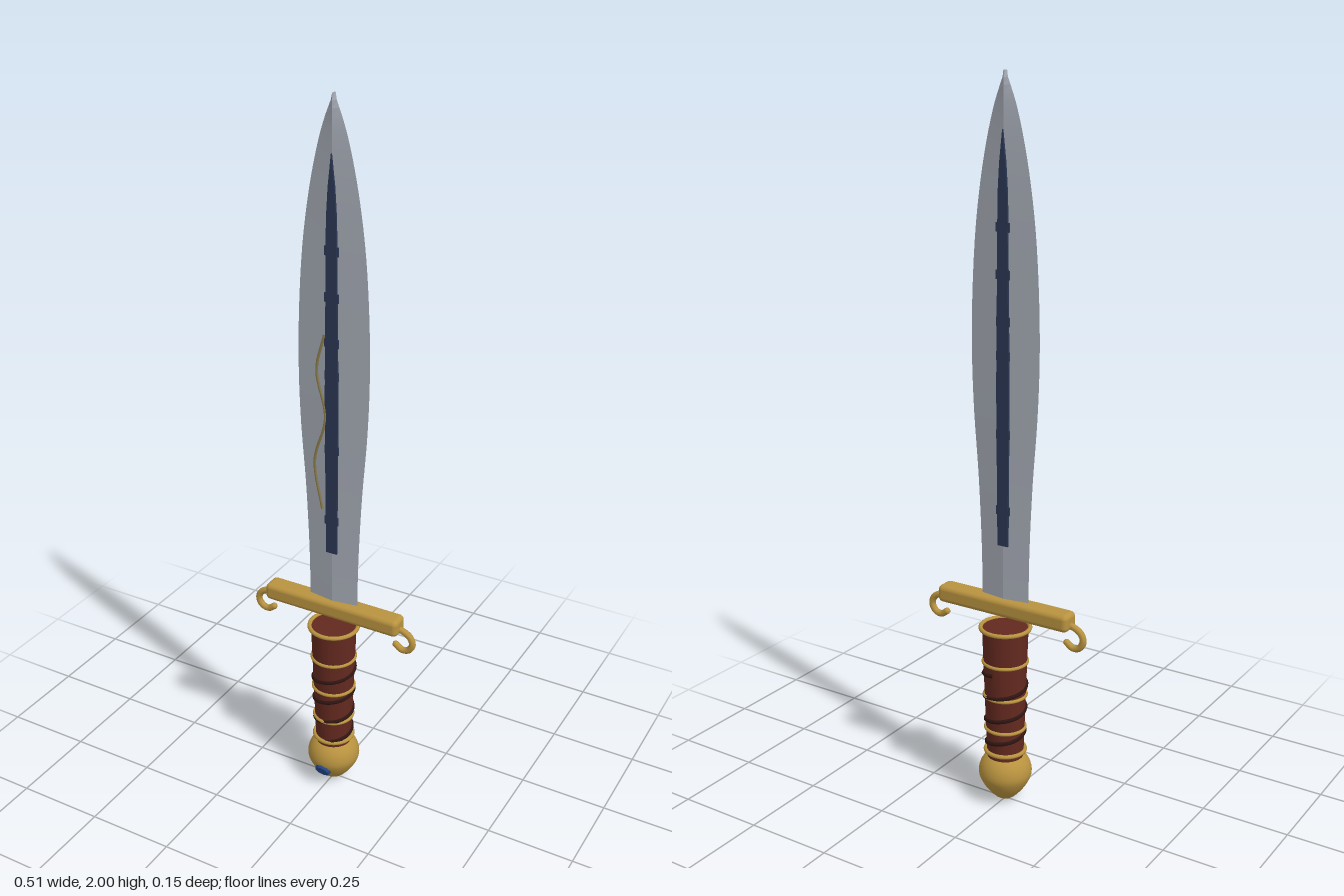
import * as THREE from 'three';
import { RoundedBoxGeometry } from 'three/addons/geometries/RoundedBoxGeometry.js';
import { toCreasedNormals } from 'three/addons/utils/BufferGeometryUtils.js';

const material = (color) => new THREE.MeshStandardMaterial({ color });
const gold = material(0xb8923f);
const steel = material(0xa3a8b2);
const navy = material(0x2a3654);
const leather = material(0x63291f);
const cord = material(0x2e1512);
const inlayGold = material(0x8a7a4a);
const blue = material(0x24488c);

const vec3 = (p) => new THREE.Vector3(...p);
const vec2 = (p) => new THREE.Vector2(...p);

function add(parent, name, geometry, mat, x = 0, y = 0, z = 0) {
  const mesh = new THREE.Mesh(geometry, mat);
  mesh.name = name;
  mesh.position.set(x, y, z);
  parent.add(mesh);
  return mesh;
}

// Leaf-shaped blade: a diamond section swept up the half-width profile
function bladeGeometry() {
  const edge = new THREE.CatmullRomCurve3([
    [0.074, 0.6, 0], [0.076, 0.75, 0], [0.085, 0.95, 0], [0.099, 1.14, 0], [0.104, 1.3, 0],
    [0.1, 1.47, 0], [0.087, 1.64, 0], [0.062, 1.8, 0], [0.032, 1.92, 0], [0.001, 2, 0],
  ].map(vec3));
  const steps = 40;
  const rows = [];
  for (let i = 0; i <= steps; i++) {
    const { x: w, y } = edge.getPoint(i / steps);
    const t = 0.011 - 0.0018 * (y - 0.6);
    rows.push([[w, y, 0], [0, y, t], [-w, y, 0], [0, y, -t]]);
  }
  const pos = [];
  const quad = (a, b, c, d) => pos.push(...a, ...b, ...c, ...a, ...c, ...d);
  for (let i = 0; i < steps; i++) {
    for (let k = 0; k < 4; k++) {
      const n = (k + 1) % 4;
      quad(rows[i][n], rows[i][k], rows[i + 1][k], rows[i + 1][n]);
    }
  }
  quad(...rows[0]);
  quad(...[...rows[steps]].reverse());
  const g = new THREE.BufferGeometry();
  g.setAttribute('position', new THREE.Float32BufferAttribute(pos, 3));
  return toCreasedNormals(g, 0.15);
}

export function createModel() {
  const model = new THREE.Group();
  model.name = 'shortSword';

  // Blade with a thin dark strip, slightly notched, on each face
  add(model, 'blade', bladeGeometry(), steel);
  const strip = new THREE.Shape([
    [-0.016, 0.77], [0.016, 0.77], [0.019, 1.2], [0.014, 1.7], [0.009, 1.78], [0, 1.86],
    [-0.009, 1.78], [-0.014, 1.7], [-0.019, 1.2],
  ].map(vec2));
  const stripGeometry = new THREE.ExtrudeGeometry(strip, { depth: 0.006, bevelEnabled: false });
  for (const s of [1, -1]) {
    add(model, 'fuller', stripGeometry, navy, 0, 0, s * 0.0115 - 0.003);
    for (const y of [0.87, 1.08, 1.29, 1.38, 1.5, 1.62]) {
      add(model, 'fullerNotch', new THREE.BoxGeometry(0.04, 0.024, 0.005), navy, 0, y, s * 0.0115);
    }
  }

  // Wavy inlay on the front of the blade
  const wave = new THREE.CatmullRomCurve3([
    [-0.02, 1.4, 0.013], [-0.043, 1.3, 0.013], [-0.018, 1.17, 0.013],
    [-0.05, 1.04, 0.013], [-0.028, 0.9, 0.013],
  ].map(vec3));
  add(model, 'inlay', new THREE.TubeGeometry(wave, 48, 0.0035, 6), inlayGold);

  // Crossguard with a curled hook at each end
  add(model, 'guard', new RoundedBoxGeometry(0.416, 0.05, 0.058, 4, 0.014), gold, 0, 0.592, 0);
  for (const s of [1, -1]) {
    const hook = new THREE.CatmullRomCurve3([
      [0.185, 0.582, 0], [0.215, 0.58, 0], [0.238, 0.566, 0], [0.245, 0.545, 0],
      [0.234, 0.525, 0], [0.214, 0.52, 0], [0.195, 0.532, 0],
    ].map(([x, y, z]) => vec3([s * x, y, z])));
    add(model, 'guardHook', new THREE.TubeGeometry(hook, 32, 0.0095, 10), gold);
    add(model, 'hookTip', new THREE.SphereGeometry(0.0095, 10, 8), gold, s * 0.195, 0.532, 0);
  }

  // Tapered grip with metal bands
  const gripRadius = (y) => 0.051 + 0.013 * (y - 0.14) / 0.39;
  add(model, 'grip', new THREE.CylinderGeometry(gripRadius(0.53), gripRadius(0.14), 0.39, 40),
    leather, 0, 0.335, 0);
  for (const [y, r, tube] of [
    [0.53, 0.068, 0.006], [0.43, 0.061, 0.005], [0.33, 0.058, 0.005],
    [0.23, 0.055, 0.005], [0.16, 0.055, 0.006],
  ]) {
    const band = new THREE.TorusGeometry(r, tube, 10, 48).rotateX(Math.PI / 2);
    add(model, 'gripBand', band, gold, 0, y, 0);
  }

  // Cord wound around the grip
  const winding = [];
  for (let i = 0; i <= 70; i++) {
    const a = (i / 70) * Math.PI * 7;
    const y = 0.16 + 0.245 * (i / 70);
    const r = gripRadius(y);
    winding.push(new THREE.Vector3(Math.sin(a) * r, y, Math.cos(a) * r));
  }
  add(model, 'gripCord',
    new THREE.TubeGeometry(new THREE.CatmullRomCurve3(winding), 180, 0.006, 6), cord);

  // Egg-shaped pommel with a faceted gem on the front
  const profile = new THREE.SplineCurve([
    [0, 0.004], [0.026, 0.014], [0.053, 0.043], [0.07, 0.072], [0.075, 0.094],
    [0.069, 0.12], [0.053, 0.141], [0.03, 0.152], [0, 0.156],
  ].map(vec2));
  add(model, 'pommel', new THREE.LatheGeometry(profile.getPoints(28), 40), gold);
  const gemGeometry = new THREE.CylinderGeometry(0.021, 0.03, 0.018, 8).rotateX(Math.PI / 2);
  const gem = add(model, 'pommelGem', gemGeometry, blue, 0, 0.066, 0.062);
  gem.rotation.x = 0.45;

  return model;
}
